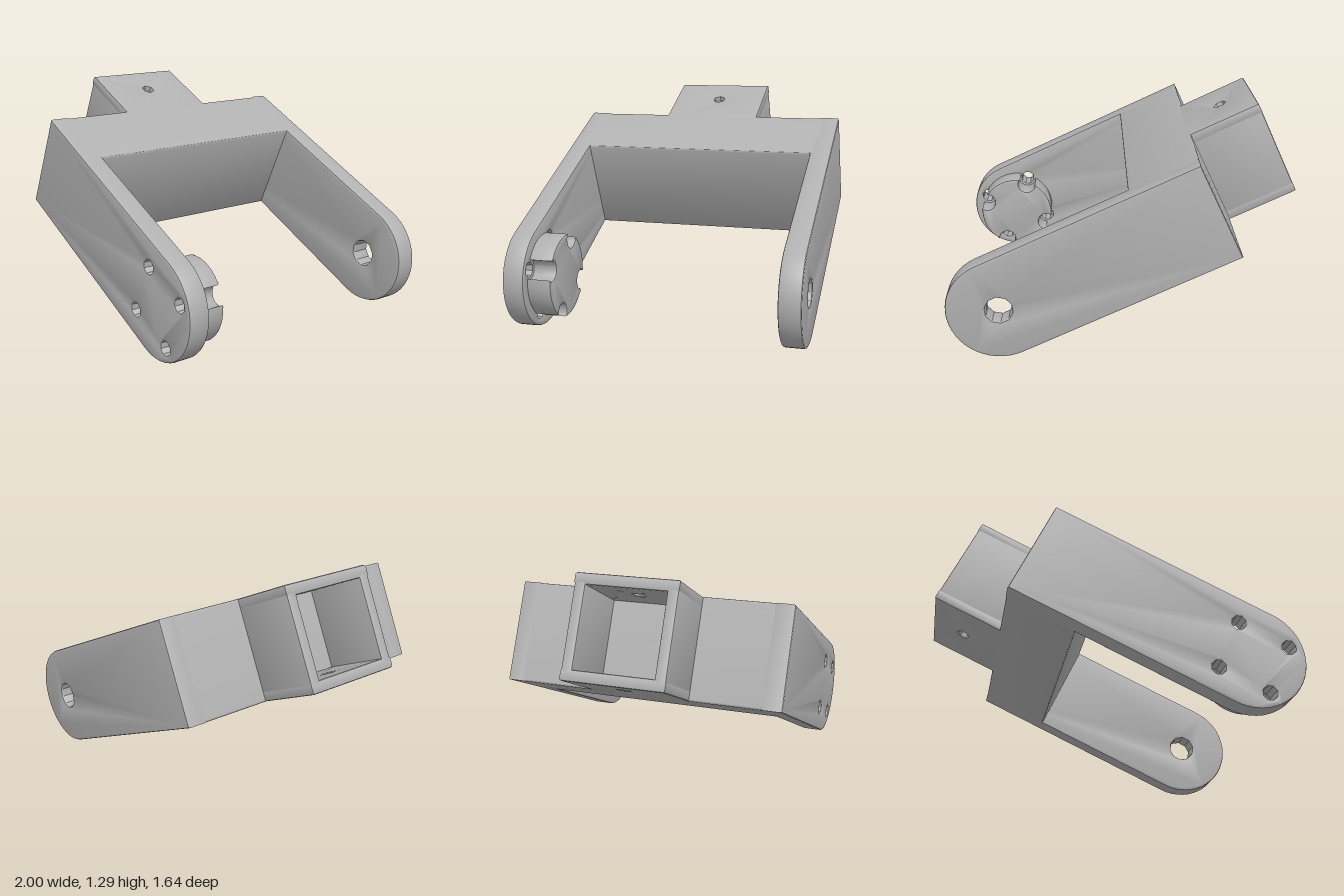
import * as THREE from 'three';
import { toCreasedNormals } from 'three/addons/utils/BufferGeometryUtils.js';

const R = 0.293;        // half height of the bracket and radius of the arm tips
const BASE = -1.33;     // back of the crossbar, measured from the pivot
const INNER = -0.916;   // inner face of the crossbar
const END = -1.749;     // open end of the socket
const BEVEL = 0.012;

const grey = new THREE.MeshStandardMaterial({ color: 0xb0b0b0 });
grey.name = 'grey plastic';

// Extrudes a shape from z0 to z1 with a small rounded edge kept inside the outline
function slab(shape, z0, z1, bevel = BEVEL, curveSegments = 12) {
  const geo = new THREE.ExtrudeGeometry(shape, {
    depth: z1 - z0 - 2 * bevel, curveSegments,
    bevelEnabled: bevel > 0, bevelThickness: bevel, bevelSize: bevel,
    bevelOffset: -bevel, bevelSegments: 2,
  });
  geo.translate(0, 0, z0 + bevel);
  return toCreasedNormals(geo, 0.6);
}

function hole(x, y, r, sides = 8) {
  const pts = [];
  for (let i = 0; i < sides; i++) {
    const a = -i / sides * Math.PI * 2;
    pts.push(new THREE.Vector2(x + r * Math.cos(a), y + r * Math.sin(a)));
  }
  return new THREE.Path(pts);
}

// Rectangle with optional corner rounding
function rectShape(x0, y0, x1, y1, r = 0) {
  const s = new THREE.Shape();
  if (!r) {
    return s.moveTo(x0, y0).lineTo(x1, y0).lineTo(x1, y1).lineTo(x0, y1);
  }
  s.absarc(x1 - r, y0 + r, r, -Math.PI / 2, 0);
  s.absarc(x1 - r, y1 - r, r, 0, Math.PI / 2);
  s.absarc(x0 + r, y1 - r, r, Math.PI / 2, Math.PI);
  s.absarc(x0 + r, y0 + r, r, Math.PI, Math.PI * 1.5);
  return s;
}

function armShape(holes) {
  const s = new THREE.Shape();
  s.moveTo(BASE, -R);
  s.lineTo(0, -R);
  s.absarc(0, 0, R, -Math.PI / 2, Math.PI / 2);
  s.lineTo(BASE, R);
  s.holes.push(...holes);
  return s;
}

// Disc with four round notches lined up with the screw holes
function hubShape(radius, notchR, notchAt) {
  const s = new THREE.Shape();
  const d = Math.acos((radius ** 2 + notchAt ** 2 - notchR ** 2) / (2 * radius * notchAt));
  const b = Math.atan2(radius * Math.sin(d), radius * Math.cos(d) - notchAt);
  for (let i = 0; i < 4; i++) {
    const a = Math.PI / 4 + i * Math.PI / 2;
    s.absarc(0, 0, radius, a - Math.PI / 2 + d, a - d, false);
    s.absarc(notchAt * Math.cos(a), notchAt * Math.sin(a), notchR, a - b, a + b, true);
  }
  return s;
}

export function createModel() {
  const model = new THREE.Group();
  model.name = 'servoBracket';
  const body = new THREE.Group();
  body.name = 'tiltedBracket';
  body.position.set(0.706, 0.293, 0);
  body.rotation.z = -THREE.MathUtils.degToRad(25);
  model.add(body);

  const add = (name, geo) => {
    const mesh = new THREE.Mesh(geo, grey);
    mesh.name = name;
    body.add(mesh);
    return mesh;
  };

  // Arms: four screw holes in front, one pivot hole behind
  const screws = [];
  for (let i = 0; i < 4; i++) {
    const a = Math.PI / 4 + i * Math.PI / 2;
    screws.push(hole(0.213 * Math.cos(a), 0.213 * Math.sin(a), 0.04));
  }
  add('frontArm', slab(armShape(screws), 0.695, 0.818));
  add('backArm', slab(armShape([hole(0, 0, 0.077, 10)]), -0.818, -0.695));

  // Notched hub on the inside of the front arm
  add('hub', slab(hubShape(0.235, 0.055, 0.213), 0.56, 0.71));

  // Crossbar joining the arms
  add('crossbar', slab(rectShape(BASE, -R, INNER, R, BEVEL), -0.725, 0.725, 0, 3));

  // Hollow socket: drilled top and bottom walls, plain side walls
  const wall = 0.065, halfZ = 0.295;
  for (const side of [1, -1]) {
    const s = rectShape(END, -halfZ, BASE + 0.03, halfZ);
    s.holes.push(hole(-1.55, 0, 0.035, 6));
    const geo = slab(s, -wall / 2, wall / 2);
    geo.rotateX(-Math.PI / 2);
    geo.translate(0, side * (R - wall / 2), 0);
    add(side > 0 ? 'socketTop' : 'socketBottom', geo);

    const sideWall = slab(rectShape(END, -0.25, BASE + 0.03, 0.25), -wall / 2, wall / 2);
    sideWall.translate(0, 0, side * (halfZ - wall / 2));
    add(side > 0 ? 'socketLeftWall' : 'socketRightWall', sideWall);
  }

  return model;
}
